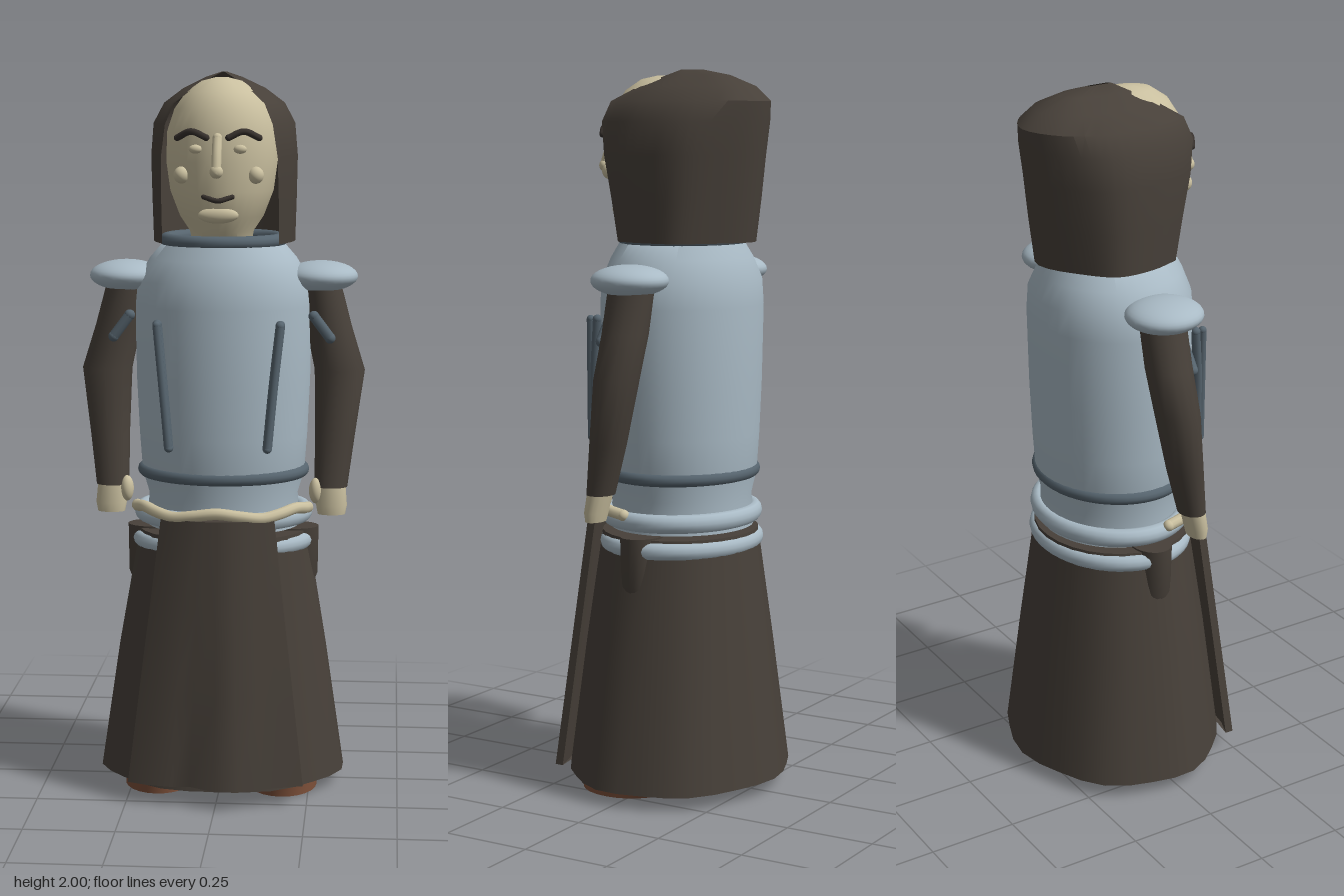
import * as THREE from 'three';
import { toCreasedNormals } from 'three/addons/utils/BufferGeometryUtils.js';

const V = (x, y, z) => new THREE.Vector3(x, y, z);
const paint = (name, color, side = THREE.FrontSide) => {
  const m = new THREE.MeshStandardMaterial({ color, side });
  m.name = name;
  return m;
};

// Horizontal elliptical cross-section, optionally rippled
function ring(cx, y, cz, rx, rz, n = 24, ripple = () => 1) {
  return Array.from({ length: n }, (_, i) => {
    const a = (i / n) * Math.PI * 2, k = ripple(a);
    return V(cx + Math.sin(a) * rx * k, y, cz + Math.cos(a) * rz * k);
  });
}

// Skin stacked sections from bottom to top; closed sections get end caps
function loft(rings, closed = true, crease = 0.7) {
  const n = rings[0].length, pos = [], idx = [];
  rings.forEach(r => r.forEach(p => pos.push(p.x, p.y, p.z)));
  for (let i = 0; i < rings.length - 1; i++)
    for (let j = 0; j < (closed ? n : n - 1); j++) {
      const k = (j + 1) % n, a = i * n + j, b = i * n + k;
      idx.push(a, b, b + n, a, b + n, a + n);
    }
  if (closed) [0, rings.length - 1].forEach(i => {
    const c = V(0, 0, 0);
    rings[i].forEach(p => c.addScaledVector(p, 1 / n));
    const ci = pos.length / 3;
    pos.push(c.x, c.y, c.z);
    for (let j = 0; j < n; j++) {
      const a = i * n + j, b = i * n + (j + 1) % n;
      idx.push(ci, ...(i ? [a, b] : [b, a]));
    }
  });
  const g = new THREE.BufferGeometry();
  g.setAttribute('position', new THREE.Float32BufferAttribute(pos, 3));
  g.setIndex(idx);
  return toCreasedNormals(g.toNonIndexed(), crease);
}

export function createModel() {
  const model = new THREE.Group();
  model.name = 'robedKnight';
  const steel = paint('steel', 0xa9bac5);
  const slate = paint('darkSteel', 0x56646e);
  const cloth = paint('cloth', 0x474039);
  const hoodCloth = paint('hoodCloth', 0x474039, THREE.DoubleSide);
  const skin = paint('skin', 0xc9bf9f);
  const hair = paint('hair', 0x37312d);
  const leather = paint('leather', 0x7a4e38);

  const add = (name, geo, mat, p = [0, 0, 0]) => {
    const m = new THREE.Mesh(geo, mat);
    m.name = name;
    m.position.set(...p);
    model.add(m);
    return m;
  };
  const blob = (name, mat, p, r) =>
    add(name, new THREE.SphereGeometry(1, 28, 18), mat, p).scale.set(...r);
  const tube = (name, mat, pts, r, seg = 20) => {
    const curve = new THREE.CatmullRomCurve3(pts.map(p => V(...p)));
    add(name, new THREE.TubeGeometry(curve, seg, r, 10), mat);
    [pts[0], pts[pts.length - 1]].forEach(p => blob(name + 'End', mat, p, [r, r, r]));
  };
  const hoop = (name, mat, y, rx, rz, t, ty = t) => {
    const m = add(name, new THREE.TorusGeometry(1, t / rx, 12, 48), mat, [0, y, -0.025]);
    m.rotation.x = Math.PI / 2;
    m.scale.set(rx, rz, ty * rx / t);
  };

  // Skirt and wavy front panel
  const ripple = a => 1 + 0.018 * Math.cos(7 * a + Math.PI);
  add('skirt', loft([
    ring(0, 0.04, -0.02, 0.345, 0.3, 28, ripple),
    ring(0, 0.4, -0.02, 0.292, 0.255, 28, ripple),
    ring(0, 0.73, -0.02, 0.238, 0.212, 28),
  ]), cloth);
  const wave = [[-0.245, 0.25], [-0.19, 0.272], [-0.12, 0.284], [-0.07, 0.28], [0, 0.32],
    [0.065, 0.32], [0.13, 0.286], [0.19, 0.266], [0.24, 0.25]];
  const panelRing = t => {
    const front = wave.map(([x, z]) => {
      const u = x / 0.245, topZ = 0.235 - 0.05 * u * u;
      return V(x * (1 - 0.36 * t), 0.055 + 0.735 * t, z + (topZ - z) * t);
    });
    const back = front.map(p => V(p.x, p.y, p.z - 0.024)).reverse();
    return [...front, ...back];
  };
  add('frontPanel', loft([0, 0.33, 0.66, 1].map(panelRing)), cloth);

  // Breastplate, waist and metal hoops
  add('breastplate', loft([
    [0.74, 0.215, 0.195], [0.83, 0.21, 0.19], [0.89, 0.228, 0.203], [1.0, 0.236, 0.21], [1.15, 0.243, 0.216],
    [1.36, 0.247, 0.22], [1.43, 0.24, 0.216], [1.49, 0.205, 0.195], [1.53, 0.17, 0.175],
  ].map(([y, rx, rz]) => ring(0, y, -0.025, rx, rz, 40)), true, 0.9), steel);
  hoop('collar', slate, 1.54, 0.158, 0.16, 0.019);
  hoop('waistHoop', slate, 0.895, 0.224, 0.195, 0.018);
  hoop('upperHipHoop', steel, 0.775, 0.228, 0.195, 0.024, 0.026);
  hoop('lowerHipHoop', steel, 0.7, 0.236, 0.2, 0.022, 0.024);

  // Cord hanging across the front of the waist
  const cord = [];
  for (let i = -6; i <= 6; i++) {
    const a = i * Math.PI / 12;
    cord.push([Math.sin(a) * 0.24, 0.802 + 0.008 * Math.cos(i * Math.PI / 2), 0.02 + Math.cos(a) * 0.2]);
  }
  tube('waistCord', skin, cord, 0.016, 60);

  for (const s of [1, -1]) {
    // Legs and boots
    add('thigh', loft([
      ring(s * 0.2, 0.54, -0.015, 0.045, 0.04),
      ring(s * 0.2, 0.6, -0.015, 0.068, 0.052),
      ring(s * 0.2, 0.735, -0.015, 0.07, 0.056),
    ]), cloth);
    add('boot', loft([
      ring(s * 0.175, 0, 0.06, 0.097, 0.122),
      ring(s * 0.175, 0.05, 0.04, 0.097, 0.15),
    ]), leather);

    // Sleeve, hand and shoulder plate
    add('sleeve', loft([
      [0.305, 0.86, 0.05, 0.046, 0.037], [0.315, 1.0, 0.02, 0.055, 0.05],
      [0.326, 1.18, -0.015, 0.07, 0.06], [0.295, 1.3, -0.023, 0.064, 0.064],
      [0.27, 1.44, -0.03, 0.052, 0.066],
    ].map(([x, y, z, rx, rz]) => ring(s * x, y, z, rx, rz, 16))), cloth);
    add('hand', loft([
      ring(s * 0.308, 0.785, 0.065, 0.038, 0.024, 16),
      ring(s * 0.308, 0.81, 0.063, 0.043, 0.029, 16),
      ring(s * 0.306, 0.87, 0.052, 0.04, 0.033, 16),
    ]), skin);
    blob('thumb', skin, [s * 0.264, 0.85, 0.065], [0.019, 0.036, 0.022]);
    blob('shoulderPlate', steel, [s * 0.272, 1.44, -0.023], [0.102, 0.043, 0.107]);

    // Raised chest rods and arm straps
    tube('chestRod', slate, [[s * 0.168, 1.32, 0.148], [s * 0.15, 1.15, 0.17], [s * 0.135, 0.985, 0.178]], 0.013);
    tube('chestRodTrim', slate, [[s * 0.168, 1.32, 0.17], [s * 0.135, 0.985, 0.19]], 0.011);
    tube('armStrap', slate, [[s * 0.255, 1.335, 0.05], [s * 0.3, 1.275, 0.05]], 0.015);

    // Paired face features
    blob('eye', skin, [s * 0.06, 1.795, 0.178], [0.018, 0.012, 0.012]);
    blob('cheek', skin, [s * 0.1, 1.725, 0.148], [0.022, 0.023, 0.022]);
    tube('eyebrow', hair, [[s * 0.03, 1.826, 0.192], [s * 0.07, 1.842, 0.186], [s * 0.11, 1.825, 0.165]], 0.009);
  }

  // Head and central face features
  add('head', loft([
    [1.53, 0.08, 0.09], [1.57, 0.088, 0.11], [1.61, 0.115, 0.138], [1.68, 0.142, 0.152], [1.76, 0.153, 0.157],
    [1.84, 0.15, 0.155], [1.9, 0.13, 0.14], [1.945, 0.098, 0.112], [1.975, 0.055, 0.068], [1.985, 0.015, 0.02],
  ].map(([y, rx, rz]) => ring(0, y, 0.032, rx, rz, 32)), true, 1.2), skin);
  tube('nose', skin, [[0, 1.825, 0.19], [0, 1.78, 0.215], [0, 1.735, 0.232]], 0.013);
  blob('noseTip', skin, [0, 1.737, 0.228], [0.018, 0.018, 0.017]);
  tube('moustache', hair, [[-0.038, 1.668, 0.174], [0, 1.658, 0.186], [0.038, 1.668, 0.174]], 0.007);
  blob('lowerLip', skin, [0, 1.618, 0.165], [0.055, 0.022, 0.018]);

  // Hood: open sections running from one front edge round the back to the other
  const hoodRing = ([y, w, zb, xf, zf, yf = y]) => {
    const half = [[xf, yf, zf], [w * 0.97, (y + yf) / 2, zf * 0.55 + zb * 0.22],
      [w * 0.97, y, zb * 0.45], [w * 0.66, y, zb + 0.07 * w / 0.2]];
    const pts = [...half.map(([x, h, z]) => V(-x, h, z)), V(0, y, zb),
      ...half.reverse().map(([x, h, z]) => V(x, h, z))];
    return new THREE.CatmullRomCurve3(pts).getPoints(32).reverse();
  };
  add('hood', loft([
    [1.535, 0.197, -0.245, 0.16, 0.085],
    [1.65, 0.2, -0.26, 0.16, 0.105],
    [1.77, 0.202, -0.273, 0.158, 0.13],
    [1.86, 0.194, -0.285, 0.145, 0.145],
    [1.915, 0.165, -0.288, 0.122, 0.13],
    [1.955, 0.112, -0.245, 0.075, 0.07],
    [1.985, 0.05, -0.17, 0.028, 0.01],
    [2.0, 0.004, -0.09, 0.001, -0.02],
  ].map(hoodRing), false), hoodCloth);

  return model;
}
